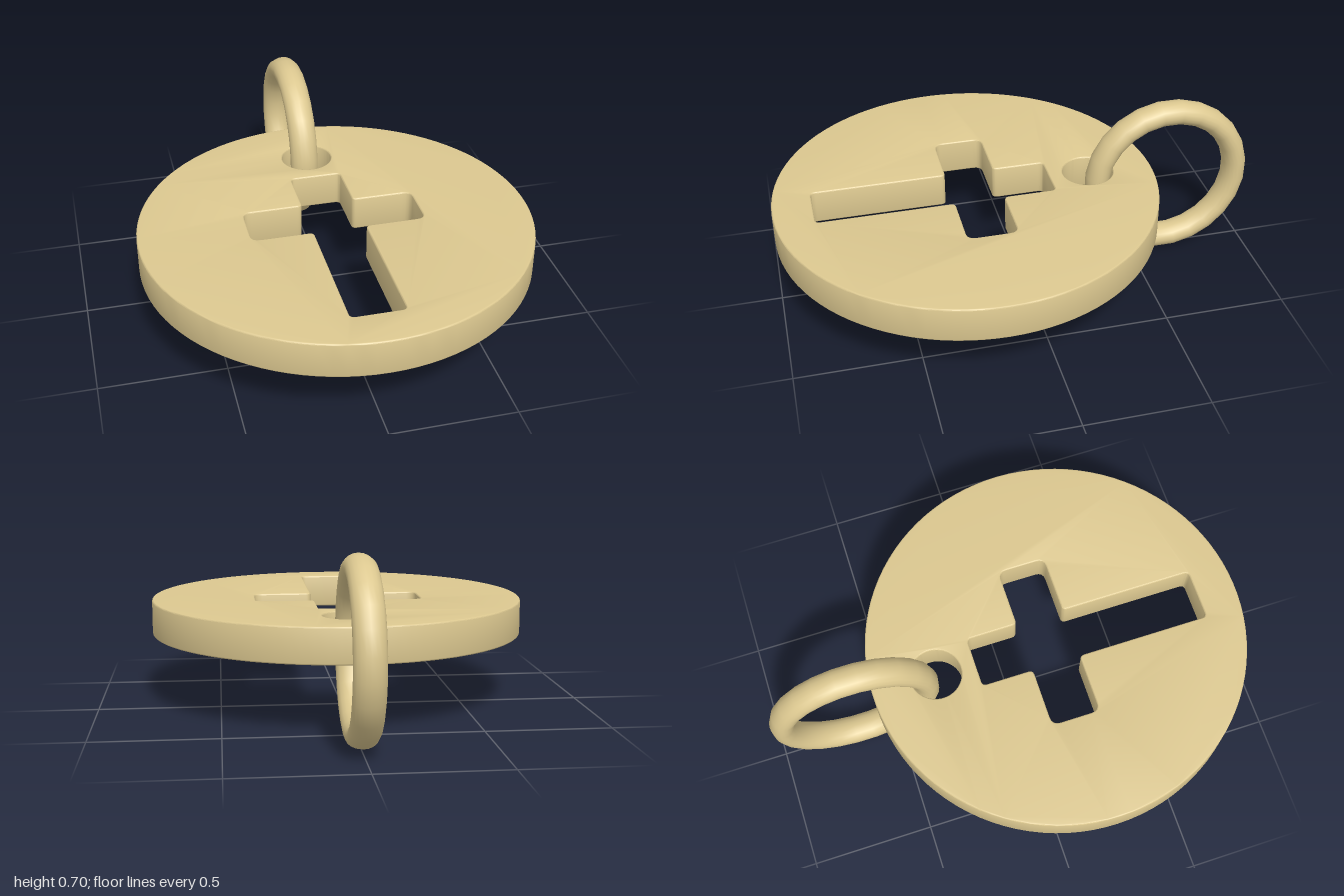
import * as THREE from 'three';
import { toCreasedNormals } from 'three/addons/utils/BufferGeometryUtils.js';

const material = new THREE.MeshStandardMaterial({ color: 0xdcc890 });

// Closed path through corners [x, y, radius], each corner rounded off
function roundedPath(corners) {
  const points = [];
  corners.forEach(([x, y, r], i) => {
    const corner = new THREE.Vector2(x, y);
    const towards = ([nx, ny]) =>
      new THREE.Vector2(nx, ny).sub(corner).setLength(r).add(corner);
    const before = towards(corners.at(i - 1));
    const after = towards(corners[(i + 1) % corners.length]);
    points.push(...new THREE.QuadraticBezierCurve(before, corner, after).getPoints(4));
  });
  return new THREE.Path(points);
}

// Round pendant with a cross-shaped cutout and a hole for the ring
function createDisc() {
  const centre = 0.214, top = 0.43, thickness = 0.145, bevel = 0.006;
  const shape = new THREE.Shape().absarc(0, centre, 0.783, 0, Math.PI * 2);
  shape.holes.push(new THREE.Path().absarc(0, -0.3, 0.105, 0, Math.PI * 2, true));

  // One half of the cross, then its mirror image
  const half = [
    [0.105, -0.135, 0.02], [0.105, 0.08, 0.02], [0.35, 0.08, 0.035],
    [0.35, 0.28, 0.035], [0.105, 0.28, 0.02], [0.105, 0.835, 0.02],
  ];
  const mirrored = half.map(([x, y, r]) => [-x, y, r]).reverse();
  shape.holes.push(roundedPath([...half, ...mirrored]));

  const geometry = new THREE.ExtrudeGeometry(shape, {
    depth: thickness - 2 * bevel,
    curveSegments: 48,
    bevelSize: bevel,
    bevelThickness: bevel,
    bevelOffset: -bevel,
    bevelSegments: 3,
  });
  // Lay flat: shape y becomes z, depth runs downwards
  geometry.rotateX(Math.PI / 2);
  geometry.translate(0, top - bevel, 0);
  const disc = new THREE.Mesh(toCreasedNormals(geometry, 0.65), material);
  disc.name = 'pendantDisc';
  return disc;
}

// Upright ring with a slightly widened section, linked through the hole
function createRing() {
  const segments = 24;
  const geometry = new THREE.TorusGeometry(0.306, 0.049, 20, segments);
  geometry.rotateZ(Math.PI / segments);
  geometry.scale(1, 1, 1.22);
  geometry.rotateY(Math.PI / 2);
  const ring = new THREE.Mesh(geometry, material);
  ring.name = 'hangingRing';
  ring.position.set(0, 0.355, -0.647);
  return ring;
}

export function createModel() {
  const model = new THREE.Group();
  model.name = 'crossPendant';
  model.add(createDisc(), createRing());
  return model;
}
